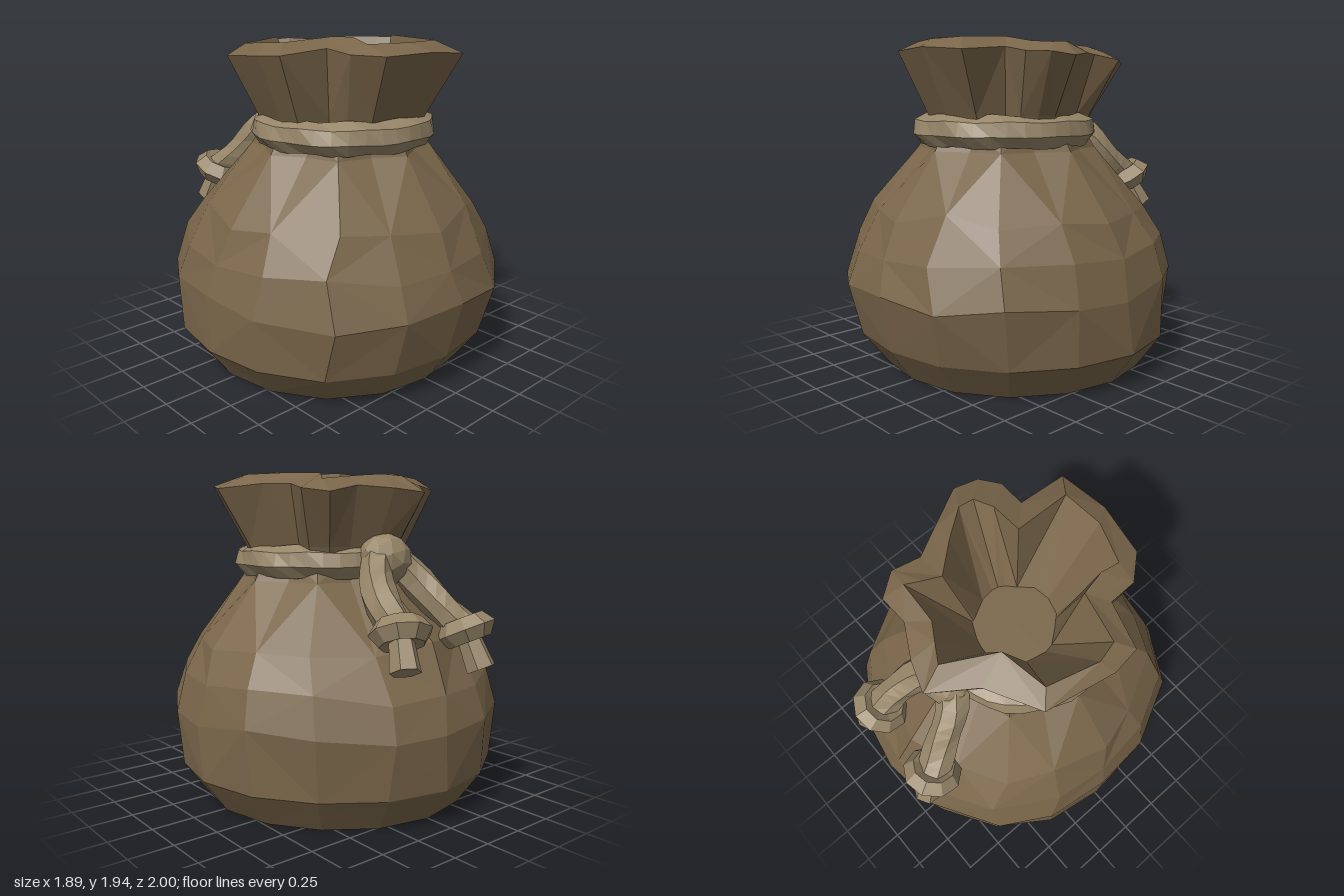
import * as THREE from 'three';

const V = (x, y, z) => new THREE.Vector3(x, y, z);

// Repeatable wobble in -1..1
const wobble = (a, b) => {
  const s = Math.sin(a * 12.99 + b * 78.23) * 43758.55;
  return (s - Math.floor(s)) * 2 - 1;
};

// Skin between closed rings of equal length, each running front -> +x -> back
function loft(rings, capStart, capEnd) {
  const n = rings[0].length, pos = [], idx = [];
  rings.forEach(r => r.forEach(p => pos.push(p.x, p.y, p.z)));
  for (let k = 0; k < rings.length - 1; k++) {
    for (let i = 0; i < n; i++) {
      const a = k * n + i, b = k * n + (i + 1) % n, c = b + n, d = a + n;
      if ((i + k) % 2) idx.push(a, b, c, a, c, d);
      else idx.push(a, b, d, b, c, d);
    }
  }
  const cap = (ring, start, flip) => {
    const m = ring.reduce((s, p) => s.add(p), V(0, 0, 0)).divideScalar(n);
    const c = pos.length / 3;
    pos.push(m.x, m.y, m.z);
    for (let i = 0; i < n; i++) {
      const a = start + i, b = start + (i + 1) % n;
      if (flip) idx.push(c, b, a); else idx.push(c, a, b);
    }
  };
  if (capStart) cap(rings[0], 0, true);
  if (capEnd) cap(rings[rings.length - 1], (rings.length - 1) * n, false);
  const g = new THREE.BufferGeometry();
  g.setAttribute('position', new THREE.Float32BufferAttribute(pos, 3));
  g.setIndex(idx);
  const flat = g.toNonIndexed();
  flat.computeVertexNormals();
  return flat;
}

// Tube whose section is pushed in and out along a spiral, like twisted strands
function twistedRope(curve, steps, radius, turns, closed) {
  const sides = 7, g = new THREE.TubeGeometry(curve, steps, radius, sides, closed);
  const p = g.attributes.position, v = V(0, 0, 0);
  for (let i = 0; i <= steps; i++) {
    const c = curve.getPointAt(i / steps);
    for (let j = 0; j <= sides; j++) {
      const k = i * (sides + 1) + j;
      const swell = 1 + 0.08 * Math.cos(2 * (j / sides) * Math.PI * 2 + turns * Math.PI * 2 * i / steps);
      v.fromBufferAttribute(p, k).sub(c).multiplyScalar(swell).add(c);
      p.setXYZ(k, v.x, v.y, v.z);
    }
  }
  return g;
}

export function createModel() {
  const group = new THREE.Group();
  group.name = 'tiedSack';
  const cloth = new THREE.MeshStandardMaterial({ name: 'brown cloth', color: 0x7a664a, flatShading: true });
  const cord = new THREE.MeshStandardMaterial({ name: 'pale rope', color: 0x968568, flatShading: true });
  const add = (name, geo, mat, parent = group) => {
    const m = new THREE.Mesh(geo, mat);
    m.name = name;
    parent.add(m);
    return m;
  };

  // Sack body: [height, half width, front z, back z, pleat depth, wobble, diagonal bulge, lopsidedness]
  const levels = [
    [0, 0.8, 0.78, -0.83, 0, 0, 0, 0.02],
    [0.2, 0.945, 0.925, -0.97, 0, 0, 0.01, 0.035],
    [0.52, 0.945, 1.0, -0.99, 0, 0.02, 0.042, 0.03],
    [0.73, 0.895, 0.94, -0.93, 0, 0.02, 0.03, 0.025],
    [0.95, 0.81, 0.85, -0.79, 0.015, 0.02, 0, 0.01],
    [1.29, 0.5, 0.56, -0.45, 0.035, 0, 0, 0],
    [1.42, 0.44, 0.5, -0.38, 0.02, 0, 0, 0],
  ];
  const segs = 16;
  const bodyRings = levels.map(([y, w, f, b, pleat, jit, bulge, skew], k) =>
    Array.from({ length: segs }, (_, i) => {
      const t = (i + wobble(i, k) * jit * 6) / segs * Math.PI * 2;
      const diagonal = (1 - Math.cos(4 * t)) / 2;
      const r = 1 + pleat * (i % 2 ? -1 : 1) / w + diagonal * (bulge + skew * Math.cos(t + Math.PI / 4));
      return V(Math.sin(t) * w * r, y + wobble(k, i) * jit * 2, (f + b) / 2 + Math.cos(t) * (f - b) / 2 * r);
    }));
  add('sackBody', loft(bodyRings, true, false), cloth);

  // Gathered collar: rim points as [outer x, outer z, inner x, inner z]
  const rim = [
    [-0.11, -0.66, -0.07, -0.52], [0.06, -0.6, 0.03, -0.46], [0.24, -0.5, 0.13, -0.4],
    [0.43, -0.5, 0.39, -0.38], [0.52, -0.37, 0.33, -0.3], [0.47, -0.21, 0.28, -0.21],
    [0.55, -0.06, 0.42, -0.05], [0.69, 0.19, 0.54, 0.11], [0.64, 0.32, 0.53, 0.2],
    [0.53, 0.4, 0.42, 0.25], [0.36, 0.39, 0.22, 0.25], [0.35, 0.68, 0.22, 0.58],
    [0.05, 0.71, -0.02, 0.6], [-0.25, 0.66, -0.25, 0.52], [-0.37, 0.52, -0.24, 0.4],
    [-0.38, 0.35, -0.27, 0.26], [-0.64, 0.28, -0.55, 0.2], [-0.66, 0.12, -0.58, 0.08],
    [-0.58, -0.27, -0.5, -0.2], [-0.29, -0.43, -0.23, -0.25],
  ].reverse();
  // Pull a rim point towards a circle of radius r around the neck
  const neck = (x, z, y, r, keep) => {
    const a = Math.atan2(x, z - 0.04);
    return V(x * keep + Math.sin(a) * r, y, 0.04 + (z - 0.04) * keep + Math.cos(a) * r);
  };
  // The rim droops as it flares out, and tilts a little to the back
  const rimPoint = (x, z, y, droop, bump) =>
    V(x, y - droop * Math.hypot(x, z) + 0.05 * z - 0.02 * x + 0.012 * bump, z);
  const collarRings = [
    rim.map(([x, z]) => neck(x, z, 1.38, 0.2, 0.38)),
    rim.map(([x, z]) => neck(x, z, 1.49, 0.15, 0.52)),
    rim.map(([x, z], i) => rimPoint(x, z, 1.97, 0.21, wobble(i, 3))),
    rim.map(([, , x, z], i) => rimPoint(x, z, 1.99, 0.18, wobble(i, 5))),
    rim.map(([, , x, z]) => neck(x, z, 1.4, 0.2, 0.08)),
  ];
  add('gatheredCollar', loft(collarRings, false, true), cloth);

  // Rope around the neck
  const loop = new THREE.CatmullRomCurve3(Array.from({ length: 12 }, (_, i) => {
    const t = i / 12 * Math.PI * 2;
    return V(Math.sin(t) * 0.46, 1.4, 0.075 + Math.cos(t) * 0.455);
  }), true);
  add('neckRope', twistedRope(loop, 36, 0.095, 9, true), cord);

  // Knot behind the neck
  const knot = add('backKnot', new THREE.IcosahedronGeometry(0.16, 1), cord);
  knot.position.set(0, 1.42, -0.465);
  knot.scale.set(1.05, 0.92, 0.92);
  knot.rotation.set(0.4, 0.2, 0.3);

  // Two hanging rope ends, each with a stopper knot and a flared tip
  const tails = [
    ['left', V(0.22, 1.06, -0.82), V(0.27, 0.87, -0.91)],
    ['right', V(-0.28, 1.03, -0.83), V(-0.31, 0.82, -0.92)],
  ];
  for (const [side, stop, tip] of tails) {
    const tail = new THREE.Group();
    tail.name = side + 'RopeEnd';
    group.add(tail);
    const s = Math.sign(stop.x);
    const path = new THREE.CatmullRomCurve3([
      V(s * 0.04, 1.45, -0.45), V(s * 0.13, 1.34, -0.53), V(s * 0.2, 1.19, -0.66), stop]);
    add(side + 'Tail', twistedRope(path, 8, 0.096, 1.5, false), cord, tail);

    const dir = tip.clone().sub(stop).normalize();
    const turn = new THREE.Quaternion().setFromUnitVectors(V(0, -1, 0), dir);
    const ring = new THREE.TorusGeometry(0.1, 0.073, 5, 9).rotateX(Math.PI / 2);
    const stopper = add(side + 'StopperKnot', ring, cord, tail);
    stopper.position.copy(stop);
    stopper.quaternion.copy(turn);

    const end = add(side + 'Tip', new THREE.CylinderGeometry(0.065, 0.085, stop.distanceTo(tip), 6), cord, tail);
    end.position.copy(stop).add(tip).multiplyScalar(0.5);
    end.quaternion.copy(turn);
  }
  return group;
}
